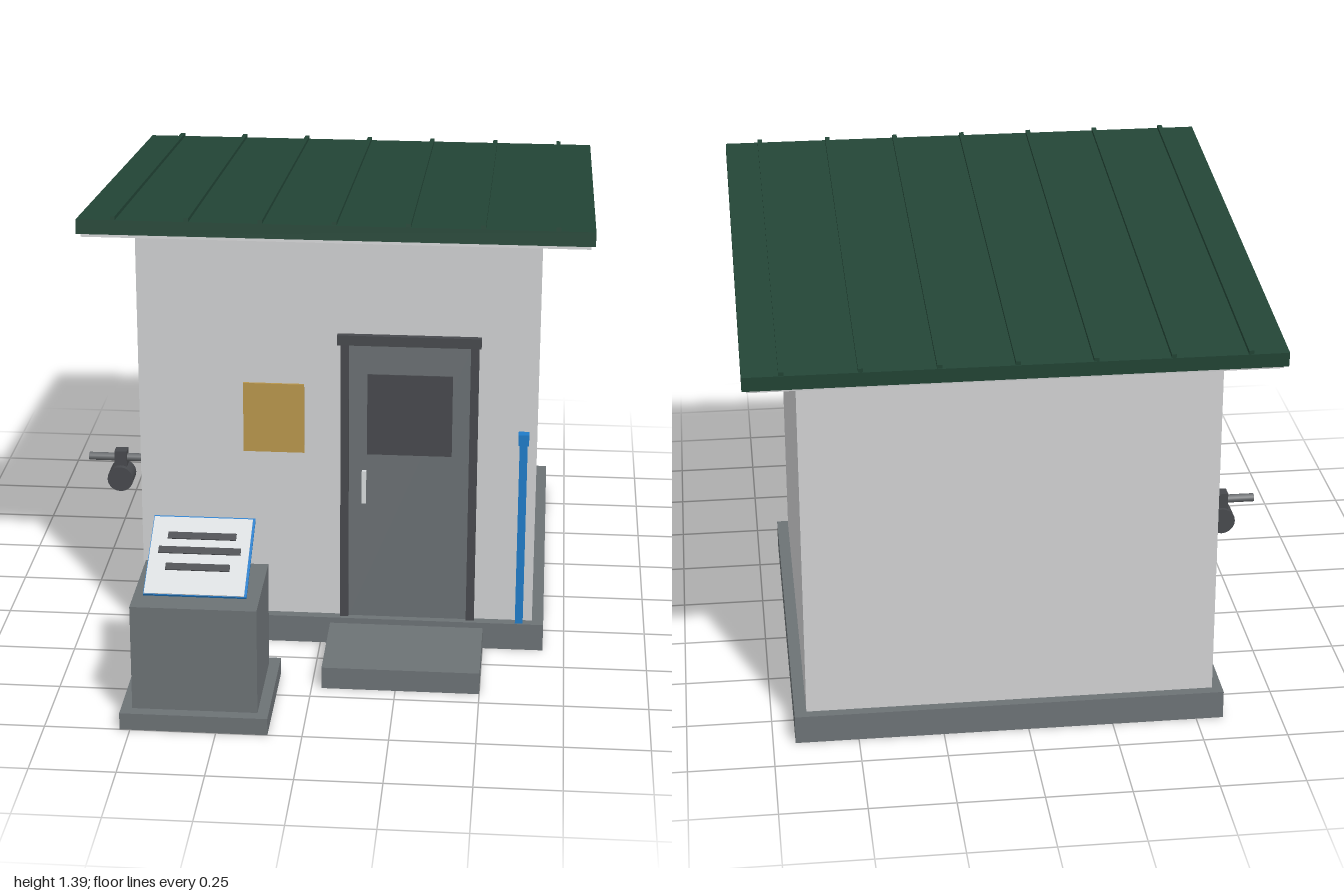
import * as THREE from 'three';

const mat = (name, color) => Object.assign(new THREE.MeshStandardMaterial({ color }), { name });

export function createModel() {
  const model = new THREE.Group();
  model.name = 'utilityShed';

  const wall = mat('wallGrey', 0xcfd0d1);
  const concrete = mat('concrete', 0x6c7275);
  const doorGrey = mat('doorGrey', 0x6a7073);
  const dark = mat('darkMetal', 0x47494d);
  const green = mat('roofGreen', 0x234536);
  const blue = mat('blue', 0x1f7bc8);
  const gold = mat('noticeGold', 0xb8964c);
  const white = mat('panelWhite', 0xd8dbdd);
  const pipeGrey = mat('pipeGrey', 0x66696c);

  const add = (name, geometry, material, parent = model) => {
    const mesh = new THREE.Mesh(geometry, material);
    mesh.name = name;
    parent.add(mesh);
    return mesh;
  };
  // Box given by its lower and upper limits on each axis
  const box = (name, material, [x0, x1], [y0, y1], [z0, z1], parent = model) => {
    const mesh = add(name, new THREE.BoxGeometry(x1 - x0, y1 - y0, z1 - z0), material, parent);
    mesh.position.set((x0 + x1) / 2, (y0 + y1) / 2, (z0 + z1) / 2);
    return mesh;
  };

  // Ground slabs
  box('foundation', concrete, [-0.58, 0.685], [0, 0.086], [-0.88, 0.39]);
  box('doorStep', concrete, [0.03, 0.5], [0, 0.068], [0.388, 0.695]);

  // Walls: side profile with a sloping top, extruded across x
  const profile = new THREE.Shape([
    new THREE.Vector2(-0.36, 0.086), new THREE.Vector2(0.85, 0.086),
    new THREE.Vector2(0.85, 1.16), new THREE.Vector2(-0.36, 1.29),
  ]);
  const wallGeometry = new THREE.ExtrudeGeometry(profile, { depth: 1.2, bevelEnabled: false });
  wallGeometry.rotateY(Math.PI / 2).translate(-0.55, 0, 0);
  add('walls', wallGeometry, wall);

  // Sloping roof with standing seams, built flat and tilted as a group
  const roof = new THREE.Group();
  roof.name = 'roof';
  roof.position.set(0.05, 1.258, -0.25);
  roof.rotation.x = -0.107;
  model.add(roof);
  box('roofSheet', green, [-0.75, 0.75], [0, 0.043], [-0.752, 0.752], roof);
  box('soffit', wall, [-0.738, 0.738], [-0.01, 0], [-0.742, 0.742], roof);
  for (let i = 0; i < 7; i++) {
    const x = -0.643 + i * 0.2143;
    box('roofSeam', green, [x - 0.007, x + 0.007], [0.043, 0.054], [-0.75, 0.75], roof);
  }

  // Door, its frame, window and handle
  box('door', doorGrey, [0.085, 0.45], [0.086, 0.976], [0.355, 0.367]);
  for (const x of [0.06, 0.447]) box('doorJamb', dark, [x, x + 0.025], [0.086, 0.976], [0.355, 0.377]);
  box('doorHeader', dark, [0.05, 0.478], [0.975, 1.006], [0.355, 0.379]);
  box('doorWindow', dark, [0.14, 0.395], [0.625, 0.882], [0.364, 0.37]);
  box('doorHandle', white, [0.125, 0.138], [0.468, 0.572], [0.366, 0.38]);

  // Notice on the front wall
  box('noticeBoard', gold, [-0.234, -0.05], [0.622, 0.842], [0.358, 0.367]);

  // Blue post beside the door
  box('bluePost', blue, [0.598, 0.622], [0.086, 0.68], [0.36, 0.384]);
  box('bluePostCap', blue, [0.594, 0.626], [0.675, 0.71], [0.356, 0.39]);

  // Sign plinth
  box('plinthBase', concrete, [-0.53, -0.1], [0, 0.052], [0.61, 1]);
  box('plinth', concrete, [-0.497, -0.132], [0.052, 0.376], [0.643, 0.965]);

  // Tilted sign: blue backing, pale panel and dark bars
  const sign = new THREE.Group();
  sign.name = 'sign';
  sign.position.set(-0.313, 0.468, 0.804);
  sign.rotation.x = 0.495;
  model.add(sign);
  box('signBacking', blue, [-0.149, 0.149], [-0.004, 0.003], [-0.143, 0.143], sign);
  box('signPanel', white, [-0.147, 0.142], [0.003, 0.006], [-0.137, 0.141], sign);
  const bars = [[-0.1, 0.1, -0.068], [-0.122, 0.118, -0.015], [-0.095, 0.092, 0.045]];
  for (const [x0, x1, z] of bars) box('signBar', dark, [x0, x1], [0.005, 0.009], [z - 0.012, z + 0.012], sign);

  // Pipe and valve on the right-hand wall
  const pipe = add('pipe', new THREE.CylinderGeometry(0.013, 0.013, 0.26, 12), pipeGrey);
  pipe.rotation.z = Math.PI / 2;
  pipe.position.set(-0.675, 0.366, -0.17);
  box('valveStem', dark, [-0.72, -0.68], [0.32, 0.392], [-0.19, -0.15]);
  const valve = add('valveWheel', new THREE.CylinderGeometry(0.042, 0.042, 0.07, 20), dark);
  valve.rotation.x = Math.PI / 2;
  valve.position.set(-0.7, 0.302, -0.167);

  return model;
}
